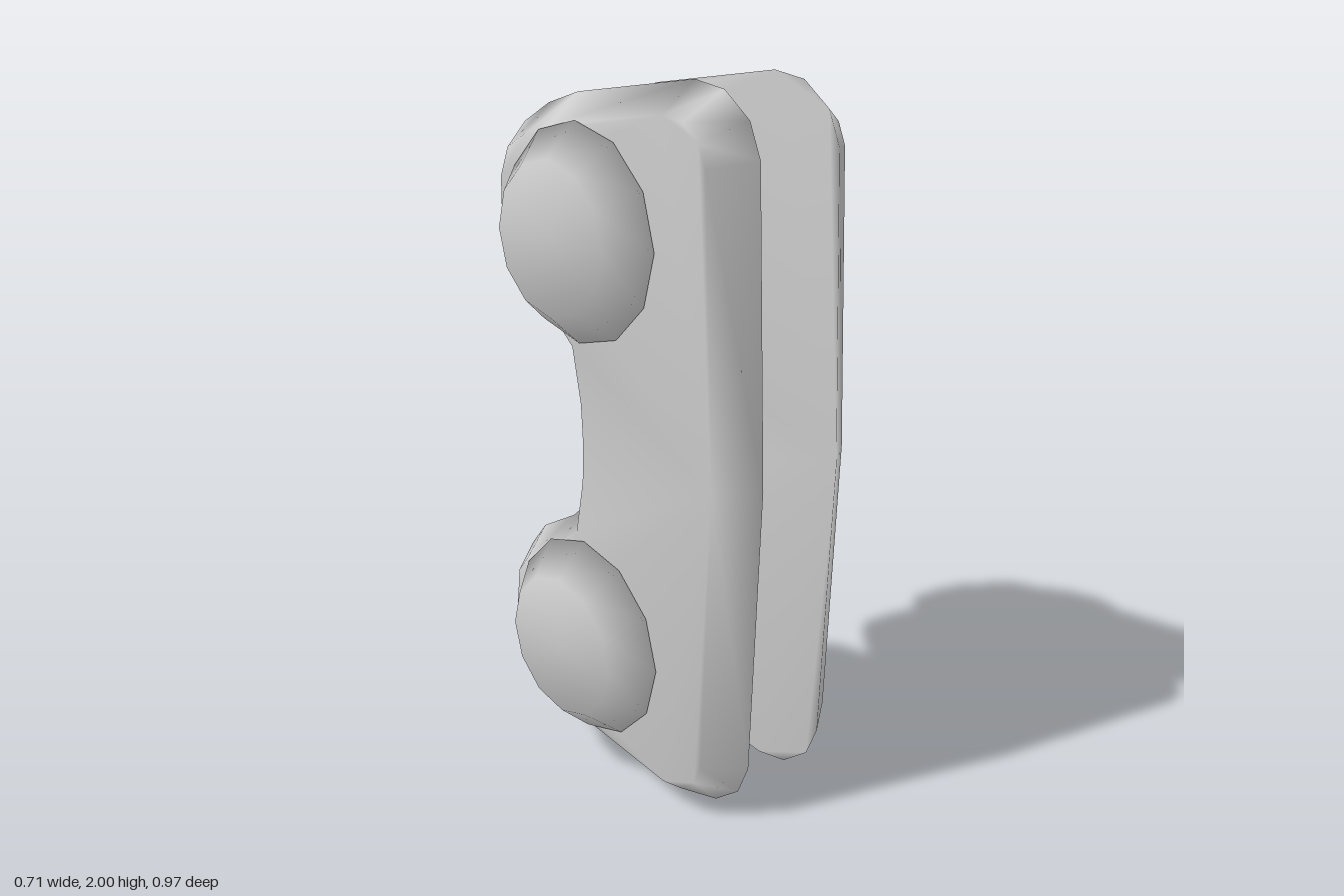
import * as THREE from 'three';
import { mergeVertices } from 'three/addons/utils/BufferGeometryUtils.js';

// Upper half of the plate outline as [z, height above mid], from front to rear notch
const HALF = [
  [0.487, 0], [0.455, 0.83], [0.418, 0.92], [0.333, 0.985], [0.233, 1],
  [-0.206, 0.93], [-0.328, 0.89], [-0.434, 0.83], [-0.483, 0.71], [-0.485, 0.61],
  [-0.466, 0.455], [-0.402, 0.376], [-0.265, 0.3], [-0.19, 0.233], [-0.165, 0.105], [-0.16, 0],
];

// Full outline, counter-clockwise as seen from +x (u = -z, v = height)
function outline() {
  const upper = HALF.map(([z, y]) => new THREE.Vector2(-z, y)).reverse();
  const lower = HALF.slice(1, -1).map(([z, y]) => new THREE.Vector2(-z, -y));
  return [...upper, ...lower];
}

// Moves every edge of the loop inwards by d, with mitred corners
function inset(loop, d) {
  const n = loop.length;
  const normal = (a, b) => new THREE.Vector2(a.y - b.y, b.x - a.x).normalize();
  return loop.map((p, i) => {
    const n1 = normal(loop[(i + n - 1) % n], p);
    const n2 = normal(p, loop[(i + 1) % n]);
    return p.clone().addScaledVector(n1.clone().add(n2), d / (1 + n1.dot(n2)));
  });
}

// Bevelled plate: wide loop on the inner side, smaller loop on the outer side
function plateGeometry(xInner, xOuter, bevel) {
  const wide = outline();
  const small = inset(wide, bevel);
  const n = wide.length;
  const pos = [], index = [];
  wide.forEach((p) => pos.push(xInner, p.y, -p.x));
  small.forEach((p) => pos.push(xOuter, p.y, -p.x));
  for (const [a, b, c] of THREE.ShapeUtils.triangulateShape(small, [])) index.push(n + a, n + b, n + c);
  for (const [a, b, c] of THREE.ShapeUtils.triangulateShape(wide, [])) index.push(a, c, b);
  for (let i = 0; i < n; i++) {
    const j = (i + 1) % n;
    index.push(i, j, n + j, i, n + j, n + i);
  }
  const g = new THREE.BufferGeometry();
  g.setAttribute('position', new THREE.Float32BufferAttribute(pos, 3));
  g.setIndex(index);
  g.computeVertexNormals();
  return g;
}

// Tapered rivet head pointing along +x, smooth across its edges
function rivetGeometry() {
  let g = new THREE.CylinderGeometry(0.207, 0.295, 0.096, 12);
  g.deleteAttribute('uv');
  g.deleteAttribute('normal');
  g = mergeVertices(g);
  g.rotateZ(-Math.PI / 2);
  g.computeVertexNormals();
  return g;
}

export function createModel() {
  const model = new THREE.Group();
  model.name = 'chainLink';
  const material = new THREE.MeshStandardMaterial({ color: 0xcccccc });
  const plateGeo = plateGeometry(0.142, 0.252, 0.075);
  const rivetGeo = rivetGeometry();

  // A half turn about z mirrors the link, as each side is symmetric in height
  for (const [name, turn] of [['left', 0], ['right', Math.PI]]) {
    const side = new THREE.Group();
    side.name = name + 'Side';
    side.position.y = 1;
    side.rotation.z = turn;

    const plate = new THREE.Mesh(plateGeo, material);
    plate.name = name + 'Plate';
    side.add(plate);

    for (const y of [0.585, -0.585]) {
      const rivet = new THREE.Mesh(rivetGeo, material);
      rivet.name = name + 'RivetHead';
      rivet.position.set(0.305, y, -0.085);
      side.add(rivet);
    }
    model.add(side);
  }
  return model;
}
